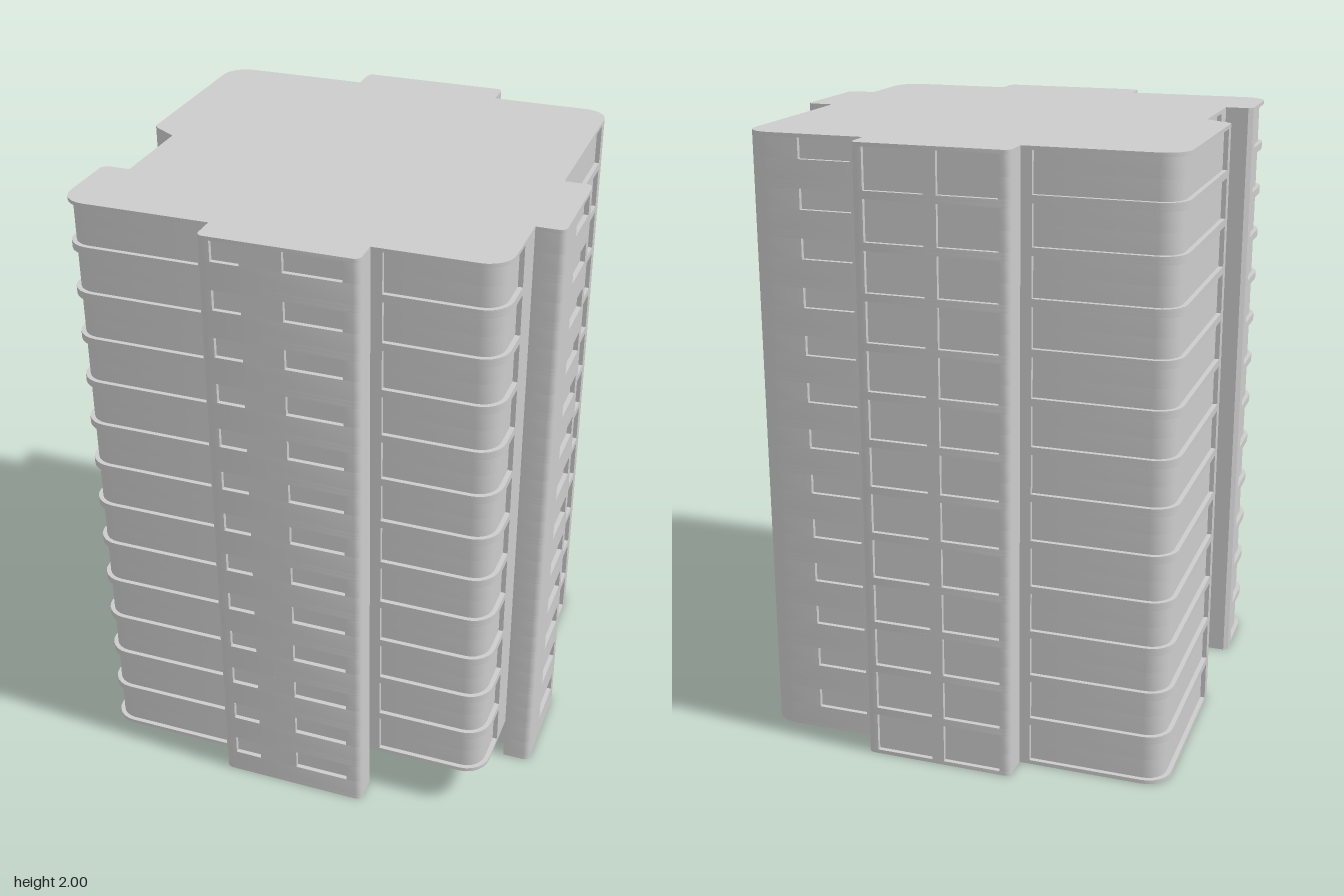
import * as THREE from 'three';
import { mergeGeometries, toCreasedNormals } from 'three/addons/utils/BufferGeometryUtils.js';

const FLOORS = 13, PITCH = 2 / FLOORS, R = 0.08, FILLET = 0.02, DEPTH = 0.015;

// Floor plan as a list of [x, z] points, with window recesses cut in where asked.
function plan(tall, small, ground) {
  const pts = [];
  const add = (...p) => pts.push(...p);

  // Rounded corner, turning through 90 degrees from angle a.
  const arc = (cx, cz, r, a, n = 6) => {
    for (let i = 0; i <= n; i++) {
      const t = THREE.MathUtils.degToRad(a - (90 * i) / n);
      add([cx + r * Math.cos(t), cz + r * Math.sin(t)]);
    }
  };

  // Rectangular recess between two points of a wall, going in along (nx, nz).
  const recess = (on, x0, z0, x1, z1, nx, nz) => {
    if (!on) return;
    const dx = nx * DEPTH, dz = nz * DEPTH;
    add([x0, z0], [x0 + dx, z0 + dz], [x1 + dx, z1 + dz], [x1, z1]);
  };

  // Window band that wraps round a corner.
  const band = (on, start, startIn, cx, cz, a, endIn, end) => {
    if (on) add(start, startIn);
    arc(cx, cz, on ? R - DEPTH : R, a);
    if (on) add(endIn, end);
  };

  // Front bay
  add([-0.245, 0.64]);
  arc(-0.225, 0.71, FILLET, 180, 3);
  recess(small, -0.205, 0.73, -0.115, 0.73, 0, -1);
  recess(small, 0.015, 0.73, 0.195, 0.73, 0, -1);
  arc(0.225, 0.71, FILLET, 90, 3);
  add([0.245, 0.64]);

  // Front right corner, or the open porch below it
  if (ground) add([-0.05, 0.64], [-0.05, 0.3], [0.64, 0.3]);
  else band(tall, [0.28, 0.64], [0.28, 0.64 - DEPTH], 0.64 - R, 0.64 - R, 90,
    [0.64 - DEPTH, 0.465], [0.64, 0.465]);

  // Right bay and right wall
  add([0.64, 0.355]);
  arc(0.71, 0.335, FILLET, 90, 3);
  recess(small, 0.73, 0.215, 0.73, 0.05, -1, 0);
  arc(0.71, 0.02, FILLET, 0, 3);
  add([0.64, 0]);
  recess(tall, 0.64, -0.21, 0.64, -0.53, -1, 0);
  arc(0.64 - R, -0.64 + R, R, 0);

  // Back wall and back bay
  recess(small, 0.46, -0.64, 0.29, -0.64, 0, 1);
  add([0.245, -0.64]);
  arc(0.225, -0.715, FILLET, 0, 3);
  recess(tall, 0.21, -0.735, 0.02, -0.735, 0, 1);
  recess(tall, -0.02, -0.735, -0.21, -0.735, 0, 1);
  arc(-0.225, -0.715, FILLET, -90, 3);
  add([-0.245, -0.64]);

  // Back left corner
  band(tall, [-0.28, -0.64], [-0.28, -0.64 + DEPTH], -0.73 + R, -0.64 + R, -90,
    [-0.73 + DEPTH, -0.05], [-0.73, -0.05]);

  // Left niche
  add([-0.73, -0.015], [-0.72, 0], [-0.64, 0.05]);
  recess(small, -0.64, 0.12, -0.64, 0.28, 1, 0);
  add([-0.64, 0.355], [-0.715, 0.355], [-0.73, 0.37]);

  // Front left corner
  band(tall, [-0.73, 0.42], [-0.73 + DEPTH, 0.42], -0.73 + R, 0.64 - R, 180,
    [-0.285, 0.64 - DEPTH], [-0.285, 0.64]);
  return pts;
}

// Horizontal slice of the building between two heights.
function slice(points, y0, y1) {
  const shape = new THREE.Shape(points.map(([x, z]) => new THREE.Vector2(x, -z)));
  const geo = new THREE.ExtrudeGeometry(shape, { depth: y1 - y0, bevelEnabled: false });
  geo.rotateX(-Math.PI / 2).translate(0, y0, 0);
  return toCreasedNormals(geo, 0.6);
}

export function createModel() {
  const group = new THREE.Group();
  group.name = 'apartmentTower';
  const material = new THREE.MeshStandardMaterial({ color: 0xcccccc });

  // Each storey: sill, lower part of the tall windows, all windows, lintel
  const levels = [
    [0, 0.013, false, false],
    [0.013, 0.077, true, false],
    [0.077, 0.142, true, true],
    [0.142, PITCH, false, false],
  ];
  for (let i = 0; i < FLOORS; i++) {
    const parts = levels.map(([a, b, tall, small]) =>
      slice(plan(tall, small, i === 0), i * PITCH + a, i * PITCH + b));
    const storey = new THREE.Mesh(mergeGeometries(parts), material);
    storey.name = i === 0 ? 'groundStorey' : `storey${i + 1}`;
    group.add(storey);
  }
  return group;
}
